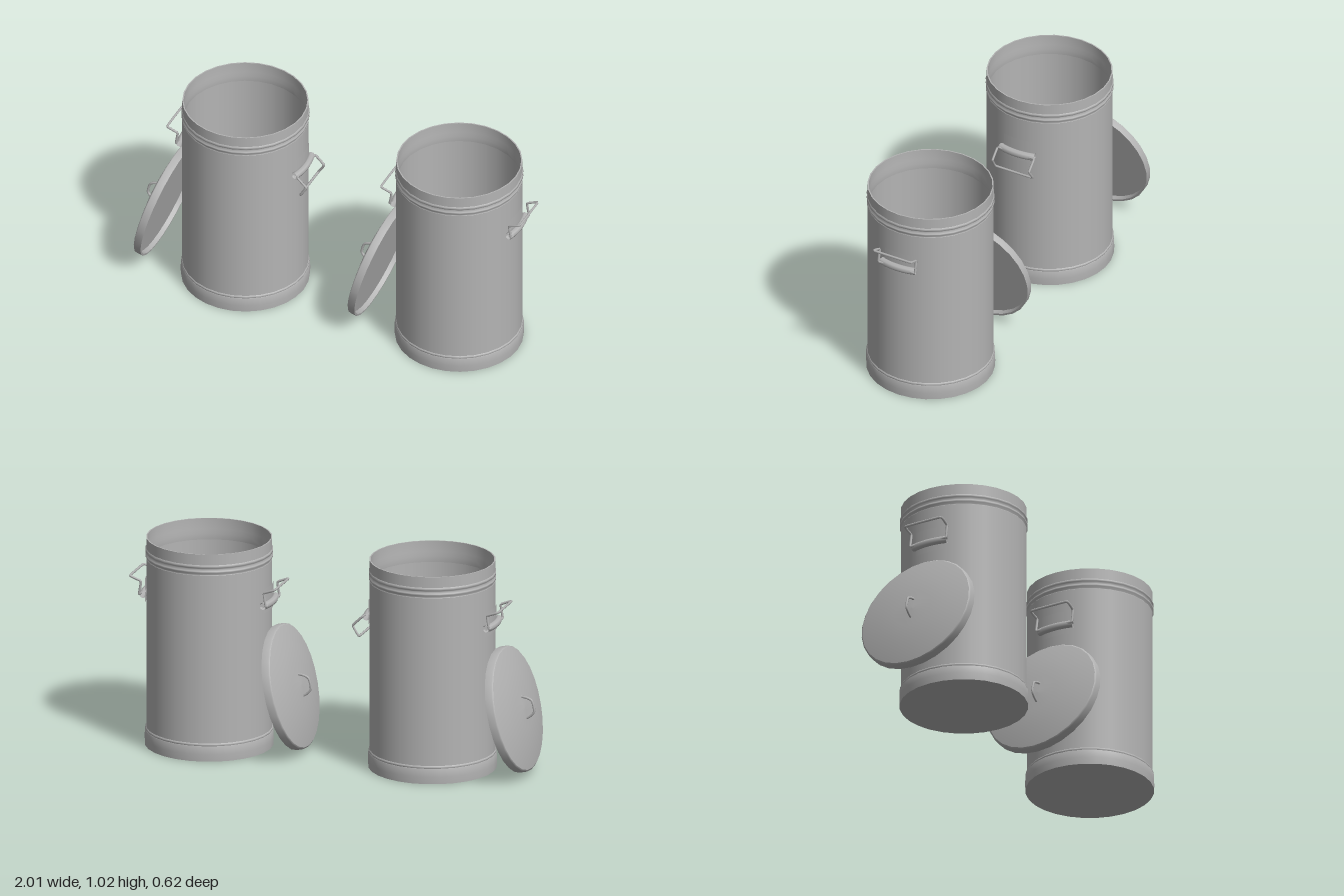
import * as THREE from 'three';

const steel = new THREE.MeshStandardMaterial({ color: 0xb4b4b4, side: THREE.DoubleSide });
steel.name = 'galvanised steel';

function part(name, geometry) {
  const mesh = new THREE.Mesh(geometry, steel);
  mesh.name = name;
  return mesh;
}

// Repeated points in a profile keep that edge sharp
function lathe(name, profile, sides = 28) {
  return part(name, new THREE.LatheGeometry(profile.map(([r, y]) => new THREE.Vector2(r, y)), sides));
}

function wire(name, points, radius, tension = 0.1) {
  const curve = new THREE.CatmullRomCurve3(
    points.map((p) => new THREE.Vector3(...p)), false, 'catmullrom', tension);
  return part(name, new THREE.TubeGeometry(curve, 60, radius, 6));
}

// Curved mounting plate, rolled hinge and swinging wire bail on the +x side
function createSideHandle(swing) {
  const handle = new THREE.Group();
  handle.name = 'sideHandle';

  const plate = part('handlePlate',
    new THREE.CylinderGeometry(0.305, 0.305, 0.12, 8, 1, true, Math.PI / 2 - 0.265, 0.53));
  plate.position.y = 0.75;

  const arc = 0.6;
  const roll = part('hingeRoll',
    new THREE.TorusGeometry(0.314, 0.018, 8, 10, arc).rotateZ(-arc / 2).rotateX(Math.PI / 2));
  roll.position.y = 0.733;
  handle.add(plate, roll);

  const side = [[0, 0, 0.07], [0, 0, 0.1], [-0.01, 0.066, 0.1], [0.045, 0.088, 0.1]];
  const mirrored = side.map(([x, y, z]) => [x, y, -z]).reverse();
  const bail = wire('bailHandle', [...side, ...mirrored], 0.006);
  bail.position.set(0.318, 0.735, 0);
  bail.rotation.z = swing;
  handle.add(bail);
  return handle;
}

// Domed lid with a recessed underside; local y points out of the dome
function createLid() {
  const lid = new THREE.Group();
  lid.name = 'lid';
  lid.add(lathe('lidShell', [
    [0, 0.022], [0.29, 0.022], [0.29, 0.022], [0.293, 0], [0.293, 0],
    [0.303, 0], [0.303, 0], [0.303, 0.034], [0.296, 0.04], [0.296, 0.04],
    [0.27, 0.046], [0.19, 0.062], [0.1, 0.071], [0, 0.075],
  ]));
  lid.add(wire('lidHandle', [
    [-0.055, 0.068, 0], [-0.045, 0.095, 0], [-0.025, 0.118, 0],
    [0.025, 0.118, 0], [0.045, 0.095, 0], [0.055, 0.068, 0],
  ], 0.006, 0.4));
  return lid;
}

function createCan(x, swing) {
  const can = new THREE.Group();
  can.name = 'trashCan';
  can.position.x = x;

  // Base band with a softly shaded shoulder
  can.add(lathe('baseBand', [
    [0, 0], [0.306, 0], [0.306, 0], [0.308, 0.035], [0.306, 0.073], [0.298, 0.078],
  ]));

  // Outer wall, beads, rim, inner wall and floor in one profile
  can.add(lathe('body', [
    [0.3, 0.07], [0.304, 0.078], [0.304, 0.084], [0.3, 0.088], [0.3, 0.088],
    [0.3, 0.92], [0.3, 0.92], [0.297, 0.925], [0.304, 0.934], [0.304, 0.942],
    [0.295, 0.95], [0.304, 0.958], [0.304, 0.967], [0.3, 0.972], [0.3, 0.972],
    [0.3, 1.025], [0.3, 1.025], [0.294, 1.025], [0.294, 1.025],
    [0.294, 0.972], [0.29, 0.95], [0.293, 0.92], [0.293, 0.92],
    [0.293, 0.03], [0.293, 0.03], [0, 0.03],
  ]));

  const leftHandle = createSideHandle(swing);
  const rightHandle = createSideHandle(0);
  rightHandle.rotation.y = Math.PI;
  can.add(leftHandle, rightHandle);

  // Lid leaning against the side
  const lid = createLid();
  lid.position.set(-0.39, 0.316, 0);
  lid.rotation.z = 1.322;
  can.add(lid);
  return can;
}

export function createModel() {
  const model = new THREE.Group();
  model.name = 'trashCans';
  model.add(createCan(-0.49, -2.5), createCan(0.63, 0));
  return model;
}
